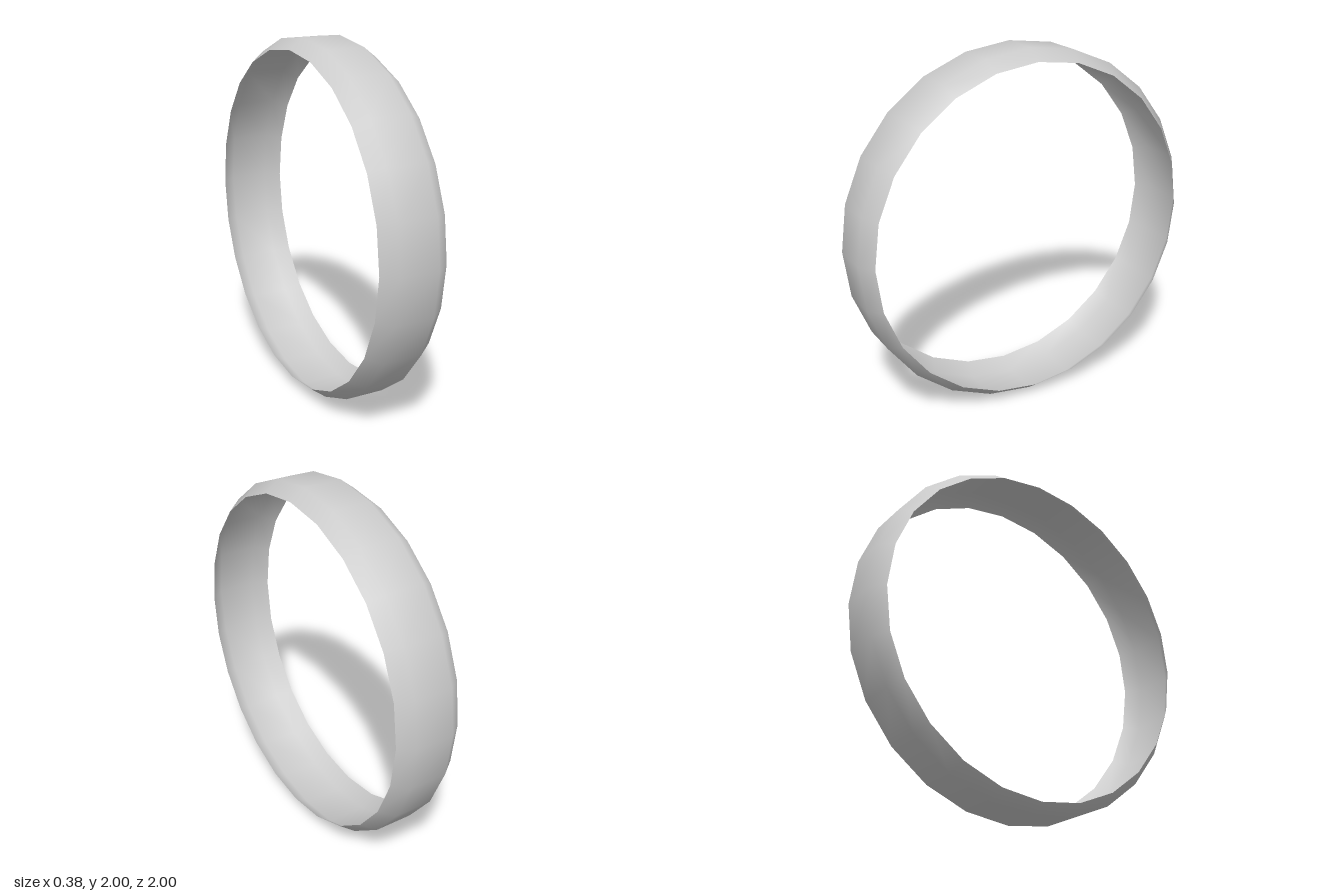
import * as THREE from 'three';

export function createModel() {
  const group = new THREE.Group();
  const material = new THREE.MeshStandardMaterial({ color: 0xcccccc, side: THREE.DoubleSide });

  // Thin open band: flat tread with a bevelled shoulder on each side
  const profile = [[0.94, -0.19], [1, -0.11], [1, 0.11], [0.94, 0.19]]
    .map(([radius, offset]) => new THREE.Vector2(radius, offset));
  const geometry = new THREE.LatheGeometry(profile, 24);

  // Stand the ring upright with its axis along x
  geometry.rotateZ(Math.PI / 2);
  geometry.translate(0, 1, 0);

  const band = new THREE.Mesh(geometry, material);
  band.name = 'ringBand';
  group.add(band);
  return group;
}
